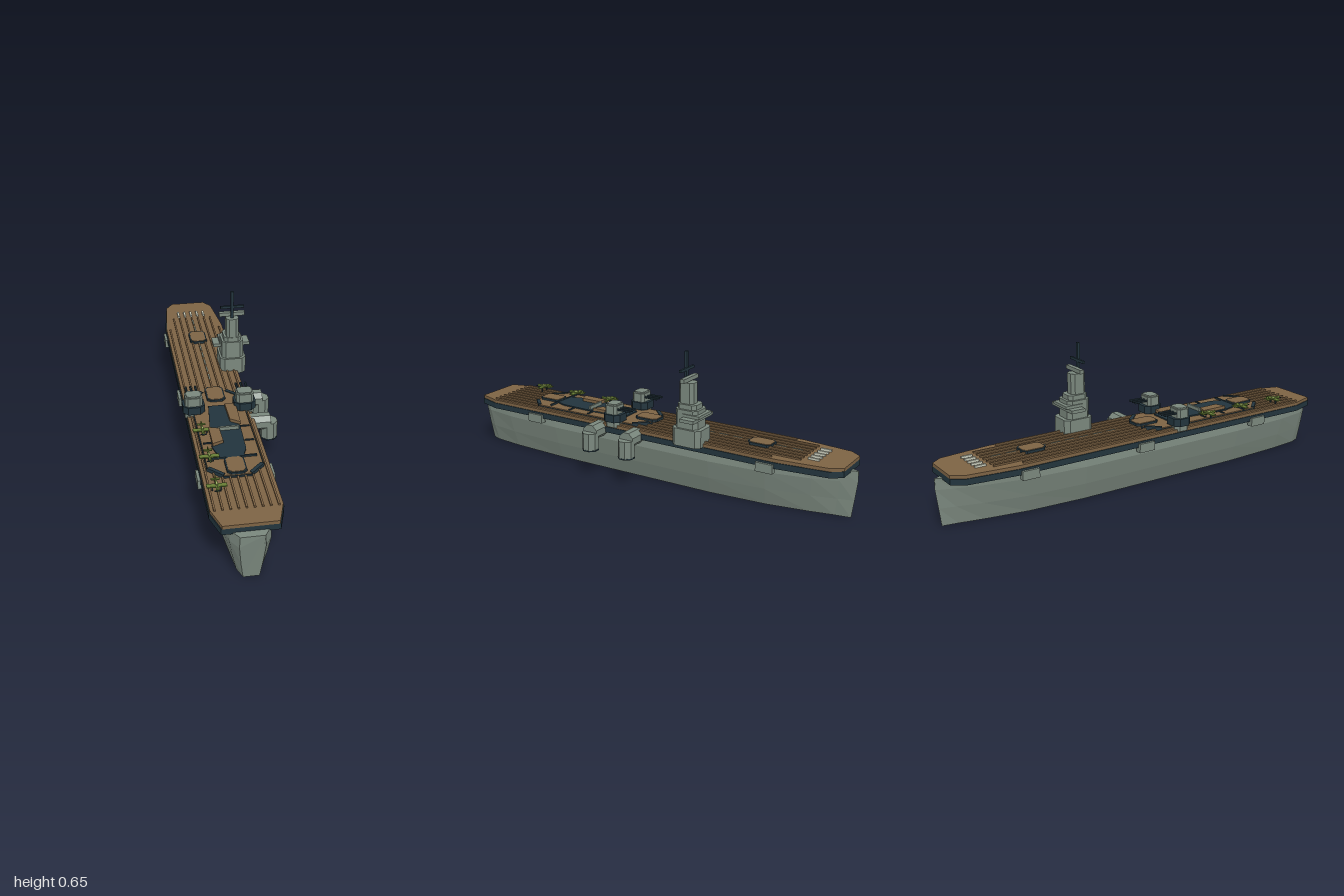
import * as THREE from 'three';

const CX = -0.045; // hull centreline

export function createModel() {
  const root = new THREE.Group();
  root.name = 'aircraftCarrier';
  const mat = (name, color) => {
    const m = new THREE.MeshStandardMaterial({ color, flatShading: true });
    m.name = name;
    return m;
  };
  const grey = mat('hull grey', 0x7a877d);
  const navy = mat('dark navy', 0x22343d);
  const wood = mat('deck brown', 0x7d6344);
  const white = mat('marking white', 0xc9ccbb);
  const olive = mat('plane olive', 0x667d35);
  const lime = mat('canopy light green', 0xa3b765);

  const add = (name, geo, m, parent = root) => {
    const mesh = new THREE.Mesh(geo, m);
    mesh.name = name;
    parent.add(mesh);
    return mesh;
  };
  // box given by its extents
  const box = (name, m, x0, x1, y0, y1, z0, z1, parent = root) => {
    const g = new THREE.BoxGeometry(x1 - x0, y1 - y0, z1 - z0);
    g.translate((x0 + x1) / 2, (y0 + y1) / 2, (z0 + z1) / 2);
    return add(name, g, m, parent);
  };
  // flat plate from [x, z] corners
  const plate = (name, m, pts, y0, y1, parent = root) => {
    const s = new THREE.Shape(pts.map(([x, z]) => new THREE.Vector2(x, -z)));
    const g = new THREE.ExtrudeGeometry(s, { depth: y1 - y0, bevelEnabled: false });
    g.rotateX(-Math.PI / 2).translate(0, y0, 0);
    return add(name, g, m, parent);
  };
  // rectangle with cut corners
  const oct = (x0, x1, z0, z1, c) => [
    [x0 + c, z0], [x1 - c, z0], [x1, z0 + c], [x1, z1 - c],
    [x1 - c, z1], [x0 + c, z1], [x0, z1 - c], [x0, z0 + c],
  ];

  // Hull: lofted cross-sections, blunt stern at +z, sharp bow at -z
  const levels = [[0.215, 0.118], [0.165, 0.126], [0.08, 0.108], [0, 0.083]];
  const stations = [
    [1, 0.42, 0.4], [0.95, 0.68, 0.62], [0.8, 0.88, 0.82], [0.5, 1, 1], [-0.35, 1, 1],
    [-0.62, 0.86, 0.8], [-0.82, 0.55, 0.42], [-0.93, 0.26, 0.15], [-1, 0.02, 0.02],
  ];
  const rings = stations.map(([z, top, low]) => {
    const side = levels.map(([y, w], i) => {
      const k = top + (low - top) * (i / 3);
      const rake = 1 - 0.02 * Math.max(0, (0.165 - y) / 0.165);
      return [w * k, y, z * rake];
    });
    const left = side.map(([w, y, zz]) => [CX + w, y, zz]);
    const right = side.map(([w, y, zz]) => [CX - w, y, zz]).reverse();
    return [...left, ...right];
  });
  const pos = [];
  const tri = (a, b, c) => pos.push(...a, ...b, ...c);
  for (let i = 0; i < rings.length - 1; i++) {
    const A = rings[i], B = rings[i + 1];
    for (let j = 0; j < 8; j++) {
      const k = (j + 1) % 8;
      tri(A[j], A[k], B[k]);
      tri(A[j], B[k], B[j]);
    }
  }
  const S = rings[0], E = rings[rings.length - 1];
  for (let j = 1; j < 7; j++) {
    tri(S[0], S[j + 1], S[j]);
    tri(E[0], E[j], E[j + 1]);
  }
  const hullGeo = new THREE.BufferGeometry();
  hullGeo.setAttribute('position', new THREE.Float32BufferAttribute(pos, 3));
  hullGeo.computeVertexNormals();
  add('hull', hullGeo, grey);

  // Flight deck: navy underside and wooden top
  const deckHalf = [[0.113, 0.965], [0.146, 0.86], [0.146, -0.69], [0.121, -0.92], [0.085, -0.97]];
  const deckPts = (grow) => [
    ...deckHalf.map(([w, z]) => [CX + w + grow, z]),
    ...deckHalf.map(([w, z]) => [CX - w - grow, z]).reverse(),
  ];
  plate('deckEdge', navy, deckPts(0.004), 0.208, 0.235);
  plate('flightDeck', wood, deckPts(0), 0.235, 0.25);

  // Raised plank seams running the length of the deck
  for (let i = -4; i <= 4; i++) {
    const x = CX + i * 0.032, end = Math.abs(i) === 4 ? 0.66 : 0.78;
    box('deckPlank', wood, x - 0.004, x + 0.004, 0.25, 0.257, -end, 0.87);
  }

  // Painted markings
  for (let i = -2; i <= 2; i++) {
    const x = CX + i * 0.033;
    box('landingBar', white, x - 0.005, x + 0.005, 0.25, 0.259, -0.85, -0.8);
  }
  for (let i = 0; i < 9; i++) {
    const z = -0.745 + i * 0.072;
    box('centreDash', grey, CX - 0.003, CX + 0.003, 0.2565, 0.2585, z, z + 0.048);
  }

  // Raised octagonal platform with navy corner trim
  plate('platform', navy, oct(-0.165, 0.075, -0.005, 0.665, 0.06), 0.25, 0.258);
  plate('platformTop', wood, oct(-0.161, 0.071, -0.001, 0.661, 0.06), 0.258, 0.262);
  for (const sx of [-1, 1]) for (const sz of [-1, 1]) {
    const p = (w, z) => [CX + sx * w, 0.33 + sz * z];
    const pts = [p(0.12, 0.275), p(0.06, 0.335), p(0.052, 0.32), p(0.106, 0.266)];
    plate('cornerTrim', navy, pts, 0.25, 0.266);
  }

  // Lifts
  for (const [z0, z1, y] of [[-0.61, -0.495, 0.25], [-0.025, 0.095, 0.26], [0.545, 0.66, 0.26]]) {
    plate('liftRim', navy, oct(-0.087, -0.003, z0, z1, 0.016), y, y + 0.011);
    plate('liftTop', wood, oct(-0.081, -0.009, z0 + 0.006, z1 - 0.006, 0.014), y + 0.011, y + 0.013);
  }

  // Open well with loose boards and cross beams
  plate('deckWell', navy, [
    [-0.09, 0.135], [0.012, 0.135], [0.025, 0.335], [0.02, 0.49],
    [0, 0.54], [-0.1, 0.54], [-0.122, 0.46], [-0.11, 0.32],
  ], 0.262, 0.268);
  plate('leftBoard', wood, [[-0.018, 0.15], [0.032, 0.15], [0.028, 0.31], [-0.015, 0.28]], 0.27, 0.284);
  plate('rightBoard', wood, [[-0.118, 0.33], [-0.072, 0.345], [-0.07, 0.44], [-0.118, 0.46]], 0.27, 0.284);
  box('wellBeam', grey, -0.078, 0.015, 0.268, 0.284, 0.332, 0.342);
  box('crossBeam', navy, -0.15, 0.056, 0.258, 0.27, 0.537, 0.545);
  for (const z of [0.31, 0.42]) {
    box('crossBeam', navy, -0.155, -0.115, 0.258, 0.267, z, z + 0.007);
    box('crossBeam', navy, 0.025, 0.065, 0.258, 0.267, z, z + 0.007);
  }

  // Gun turrets, barrels pointing to the bow
  for (const x of [-0.16, 0.071]) {
    const t = new THREE.Group();
    t.name = 'gunTurret';
    t.position.set(x, 0, 0.15);
    root.add(t);
    plate('turretFoot', grey, oct(-0.04, 0.04, -0.038, 0.038, 0.018), 0.24, 0.268, t);
    plate('turretBase', navy, oct(-0.049, 0.049, -0.046, 0.046, 0.022), 0.266, 0.302, t);
    plate('turretHouse', grey, oct(-0.039, 0.039, -0.03, 0.036, 0.012), 0.302, 0.343, t);
    plate('turretRoof', grey, oct(-0.033, 0.033, -0.024, 0.03, 0.01), 0.343, 0.35, t);
    for (const dx of [-0.022, 0, 0.022]) {
      const g = new THREE.CylinderGeometry(0.005, 0.006, 0.075, 6);
      g.rotateX(Math.PI / 2).translate(dx, 0.326, -0.06);
      add('gunBarrel', g, navy, t);
    }
  }

  // Exhaust elbows on the left side
  for (const z of [0.22, 0.02]) {
    const e = new THREE.Group();
    e.name = 'exhaustElbow';
    e.position.z = z;
    root.add(e);
    const h = new THREE.CylinderGeometry(0.039, 0.039, 0.092, 8);
    h.rotateY(Math.PI / 8).rotateZ(Math.PI / 2).translate(0.13, 0.219, 0);
    add('duct', h, grey, e);
    const v = new THREE.CylinderGeometry(0.039, 0.039, 0.08, 8);
    v.rotateY(Math.PI / 8).translate(0.173, 0.182, 0);
    add('downpipe', v, grey, e);
    const r = new THREE.CylinderGeometry(0.04, 0.04, 0.006, 8);
    r.rotateY(Math.PI / 8).translate(0.173, 0.139, 0);
    add('pipeRim', r, navy, e);
  }

  // Side sponsons
  for (const z of [-0.64, -0.055, 0.595]) {
    box('rightSponson', grey, -0.207, -0.178, 0.185, 0.226, z - 0.04, z + 0.04);
    if (z !== -0.055) box('leftSponson', grey, 0.088, 0.117, 0.185, 0.226, z - 0.04, z + 0.04);
  }

  // Island tower
  const island = new THREE.Group();
  island.name = 'island';
  root.add(island);
  plate('islandBase', grey, oct(0.02, 0.143, -0.338, -0.195, 0.02), 0.235, 0.315, island);
  plate('islandBridge', grey, oct(0.029, 0.132, -0.318, -0.205, 0.018), 0.315, 0.4, island);
  plate('islandShoulder', grey, oct(0.04, 0.121, -0.305, -0.21, 0.016), 0.4, 0.422, island);
  plate('islandTower', grey, oct(0.051, 0.11, -0.285, -0.212, 0.014), 0.422, 0.517, island);
  box('bridgeWings', grey, -0.007, 0.169, 0.355, 0.37, -0.325, -0.255, island);
  box('bridgeRail', grey, 0.024, 0.137, 0.37, 0.383, -0.335, -0.25, island);
  box('radarPlatform', grey, 0.02, 0.142, 0.522, 0.54, -0.262, -0.242, island);
  box('mast', navy, 0.073, 0.087, 0.515, 0.652, -0.242, -0.23, island);
  box('yard', navy, 0.025, 0.137, 0.566, 0.578, -0.244, -0.234, island);

  // Parked planes, noses toward the stern
  for (const z of [0.335, 0.535, 0.74]) {
    const p = new THREE.Group();
    p.name = 'plane';
    p.position.set(-0.145, 0.279, z);
    root.add(p);
    const body = new THREE.CylinderGeometry(0.008, 0.004, 0.08, 6);
    body.rotateX(Math.PI / 2);
    add('fuselage', body, olive, p);
    box('wing', olive, -0.042, 0.042, -0.004, 0.001, -0.008, 0.014, p);
    box('tailplane', olive, -0.018, 0.018, 0, 0.004, -0.042, -0.031, p);
    box('tailFin', olive, -0.002, 0.002, 0, 0.016, -0.042, -0.03, p);
    box('canopy', lime, -0.004, 0.004, 0.004, 0.011, -0.008, 0.012, p);
    box('propeller', navy, -0.014, 0.014, -0.002, 0.002, 0.04, 0.043, p);
    for (const s of [-1, 1]) {
      box('landingGear', navy, s * 0.018 - 0.003, s * 0.018 + 0.003, -0.025, -0.003, 0, 0.006, p);
    }
  }

  return root;
}
